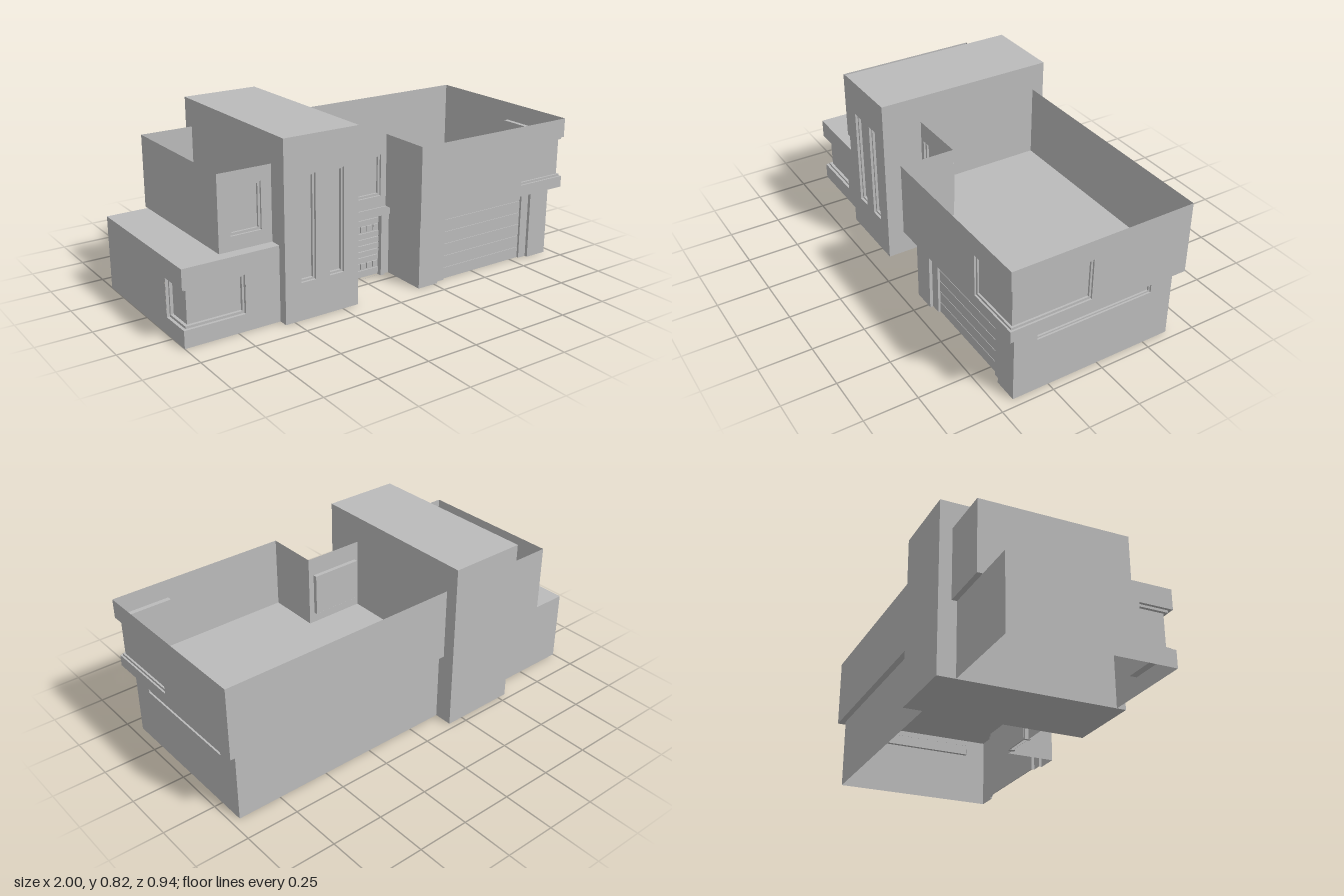
import * as THREE from 'three';

export function createModel() {
  const house = new THREE.Group();
  house.name = 'house';
  const plaster = new THREE.MeshStandardMaterial({ color: 0xbbbbbb, side: THREE.DoubleSide });
  plaster.name = 'grey plaster';

  const add = (name, geometry, parent = house) => {
    const mesh = new THREE.Mesh(geometry, plaster);
    mesh.name = name;
    parent.add(mesh);
    return mesh;
  };
  const rect = (x0, x1, y0, y1) => [[x0, y0], [x1, y0], [x1, y1], [x0, y1]];
  const shape = (points, holes = []) => {
    const s = new THREE.Shape(points.map(p => new THREE.Vector2(...p)));
    for (const h of holes) s.holes.push(new THREE.Path(h.map(p => new THREE.Vector2(...p))));
    return s;
  };
  const extrude = (s, depth) => new THREE.ExtrudeGeometry(s, { depth, bevelEnabled: false });

  // Flat wall facing front, with openings
  const wall = (name, z, points, holes) =>
    add(name, new THREE.ShapeGeometry(shape(points, holes)).translate(0, 0, z));

  // Flat wall facing +x or -x, drawn in z and y
  const sideWall = (name, x, points, holes = []) => {
    const flip = list => list.map(([z, y]) => [-z, y]);
    const g = new THREE.ShapeGeometry(shape(flip(points), holes.map(flip)));
    return add(name, g.rotateY(Math.PI / 2).translate(x, 0, 0));
  };

  // Horizontal slab of no thickness, drawn in x and z
  const slab = (name, y, points) => {
    const g = new THREE.ShapeGeometry(shape(points.map(([x, z]) => [x, -z])));
    return add(name, g.rotateX(-Math.PI / 2).translate(0, y, 0));
  };

  // Upright walls following a path in plan
  const fence = (name, path, y0, y1) => {
    const v = [];
    for (let i = 0; i + 1 < path.length; i++) {
      const [ax, az] = path[i], [bx, bz] = path[i + 1];
      v.push(ax, y0, az, bx, y0, bz, bx, y1, bz, ax, y0, az, bx, y1, bz, ax, y1, az);
    }
    const g = new THREE.BufferGeometry();
    g.setAttribute('position', new THREE.Float32BufferAttribute(v, 3));
    g.computeVertexNormals();
    return add(name, g);
  };

  // Recessed window: reveal, inner frame and pane, facing local +z
  const windowUnit = (name, x0, x1, y0, y1, depth = 0.02, f = 0.011) => {
    const g = new THREE.Group();
    g.name = name;
    const t = 0.003;
    const outer = rect(x0, x1, y0, y1);
    const inner = rect(x0 + f, x1 - f, y0 + f, y1 - f);
    const sleeve = extrude(shape(rect(x0 - t, x1 + t, y0 - t, y1 + t), [outer]), depth);
    add('reveal', sleeve.translate(0, 0, -depth - 0.0005), g);
    add('frame', extrude(shape(outer, [inner]), depth / 2).translate(0, 0, -depth), g);
    add('pane', new THREE.ShapeGeometry(shape(outer)).translate(0, 0, -depth), g);
    house.add(g);
    return g;
  };

  // Window wrapping a front corner; s is the side of the corner in x
  const cornerWindow = (name, s, cx, cz, lx, lz, y0, y1, depth) => {
    const g = new THREE.Group();
    g.name = name;
    const f = 0.011;
    const band = (part, a, b, w, d, low, high) => {
      const plan = [[-w, -a], [-a, -a], [-a, -d], [-b, -d], [-b, -b], [-w, -b]];
      const geo = extrude(shape(plan.map(([x, z]) => [cx + s * x, -(cz + z)])), high - low);
      add(part, geo.rotateX(-Math.PI / 2).translate(0, low, 0), g);
    };
    const back = depth + 0.006;
    band('pane', depth, back, lx, lz, y0, y1);
    band('sill', 0.0005, back, lx, lz, y0 - 0.002, y0);
    band('head', 0.0005, back, lx, lz, y1, y1 + 0.002);
    band('lowerFrame', depth / 2, back, lx, lz, y0, y0 + f);
    band('upperFrame', depth / 2, back, lx, lz, y1 - f, y1);
    const h = y1 - y0, ym = (y0 + y1) / 2;
    for (const [w, k] of [[0.002, 0.0005], [f, depth / 2]]) {
      const m = (k + back) / 2, n = back - k;
      add('frontJamb', new THREE.BoxGeometry(w, h, n).translate(cx - s * (lx - w / 2), ym, cz - m), g);
      add('sideJamb', new THREE.BoxGeometry(n, h, w).translate(cx - s * m, ym, cz - lz + w / 2), g);
    }
    house.add(g);
  };

  // Tall closed tower
  const slits = [[-0.465, -0.39], [-0.32, -0.245]];
  wall('towerFront', 0.405, rect(-0.545, -0.17, 0, 0.825), slits.map(([a, b]) => rect(a, b, 0.175, 0.655)));
  fence('towerWalls', [[-0.17, 0.405], [-0.17, -0.47], [-0.545, -0.47], [-0.545, 0.405]], 0, 0.825);
  for (const y of [0, 0.825]) slab(y ? 'towerRoof' : 'towerBase', y, rect(-0.545, -0.17, -0.47, 0.405));
  for (const [a, b] of slits) windowUnit('towerWindow', a, b, 0.175, 0.655, 0.025, 0.009).position.z = 0.405;

  // Low left wing with a corner window
  const notch = (end, inner, outer, y0, y1, low, high) =>
    [[end, low], [outer, low], [outer, y0], [inner, y0], [inner, y1], [outer, y1], [outer, high], [end, high]];
  wall('lowWingFront', 0.36, notch(-0.545, -0.71, -1, 0.08, 0.258, 0, 0.35));
  sideWall('lowWingSide', -1, notch(-0.385, 0.2, 0.36, 0.08, 0.258, 0, 0.35));
  fence('lowWingBack', [[-0.545, -0.385], [-1, -0.385]], 0, 0.35);
  slab('lowWingRoof', 0.35, rect(-1, -0.545, -0.385, 0.36));
  cornerWindow('lowCornerWindow', -1, -1, 0.36, 0.29, 0.16, 0.08, 0.258, 0.028);

  // Upper left room, open at the top
  wall('upperLeftFront', 0.305, rect(-0.8, -0.545, 0.35, 0.695), [rect(-0.745, -0.595, 0.415, 0.63)]);
  fence('upperLeftWalls', [[-0.545, -0.41], [-0.8, -0.41], [-0.8, 0.305]], 0.35, 0.695);
  slab('upperLeftOverhang', 0.35, rect(-0.8, -0.545, -0.41, -0.385));
  windowUnit('upperLeftWindow', -0.745, -0.595, 0.415, 0.63).position.z = 0.305;

  // Upper right storey, open at the top, stepped back over the entrance
  wall('upperFront', 0.47, notch(0.125, 0.73, 1, 0.405, 0.603, 0.35, 0.695));
  sideWall('upperSide', 1, notch(-0.41, 0.08, 0.47, 0.405, 0.603, 0.35, 0.695));
  fence('upperBack', [[1, -0.41], [-0.17, -0.41]], 0.35, 0.695);
  fence('upperReturn', [[0.125, 0.21], [0.125, 0.47]], 0.35, 0.695);
  wall('entranceUpperWall', 0.21, rect(-0.17, 0.125, 0.35, 0.695), [rect(-0.148, 0.095, 0.405, 0.603)]);
  windowUnit('entranceUpperWindow', -0.148, 0.095, 0.405, 0.603).position.z = 0.21;
  slab('upperFloor', 0.35, [[-0.17, -0.41], [1, -0.41], [1, 0.47], [0.125, 0.47], [0.125, 0.21], [-0.17, 0.21]]);
  cornerWindow('upperCornerWindow', 1, 1, 0.47, 0.27, 0.39, 0.405, 0.603, 0.018);

  // Garage with stepped piers
  fence('garageFront', [[0.16, 0.19], [0.16, 0.425], [0.27, 0.425], [0.27, 0.41], [0.32, 0.41], [0.32, 0.395],
    [0.8, 0.395], [0.8, 0.41], [0.845, 0.41], [0.845, 0.425], [0.96, 0.425]], 0, 0.35);
  sideWall('garageSide', 0.96, rect(-0.38, 0.425, 0, 0.35), [rect(-0.267, 0.313, 0.267, 0.315)]);
  const strip = windowUnit('garageStripWindow', -0.313, 0.267, 0.267, 0.315, 0.018, 0.007);
  strip.rotation.y = Math.PI / 2;
  strip.position.x = 0.96;
  fence('garageBack', [[0.96, -0.38], [-0.17, -0.38]], 0, 0.35);
  for (let i = 0; i < 6; i++) {
    const y0 = i ? 0.06 * i - 0.003 : 0, y1 = i < 5 ? 0.06 * i + 0.054 : 0.35;
    add('garageDoorPanel', new THREE.BoxGeometry(0.48, y1 - y0, 0.004)).position.set(0.56, (y0 + y1) / 2, 0.397);
  }

  // Entrance wall, door frame and slatted door
  wall('entranceWall', 0.19, rect(-0.17, 0.16, 0, 0.35), [rect(-0.04, 0.115, 0.001, 0.3)]);
  const bar = (name, x0, x1, y0, y1, z, depth) =>
    add(name, new THREE.BoxGeometry(x1 - x0, y1 - y0, depth)).position.set((x0 + x1) / 2, (y0 + y1) / 2, z);
  bar('doorLintel', -0.075, 0.155, 0.303, 0.345, 0.195, 0.02);
  bar('doorPost', -0.05, -0.036, 0, 0.303, 0.187, 0.03);
  bar('doorPost', 0.108, 0.13, 0, 0.303, 0.187, 0.03);
  bar('doorLeaf', -0.036, 0.108, 0.002, 0.3, 0.173, 0.006);
  for (const y of [0.015, 0.08, 0.11, 0.14, 0.17, 0.2, 0.265]) bar('doorSlat', -0.034, 0.106, y, y + 0.024, 0.179, 0.008);
  for (const y of [0.046, 0.23])
    for (let i = 0; i < 4; i++) bar('doorBlock', -0.03 + i * 0.035, -0.002 + i * 0.035, y, y + 0.028, 0.179, 0.008);

  return house;
}
